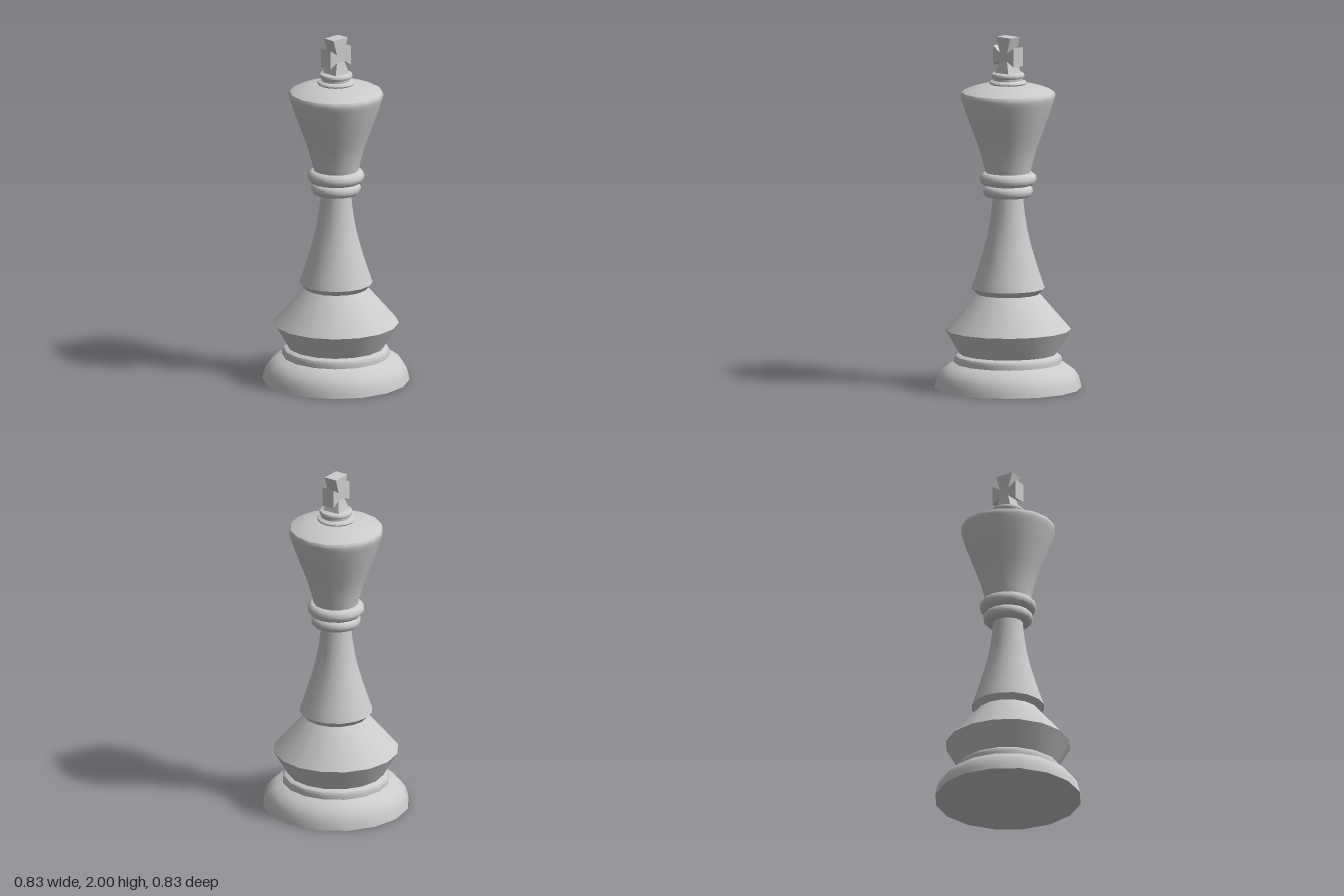
import * as THREE from 'three';
import { toCreasedNormals } from 'three/addons/utils/BufferGeometryUtils.js';

const SIDES = 16;

export function createModel() {
  const group = new THREE.Group();
  const material = new THREE.MeshStandardMaterial({ color: 0xcccccc });

  const add = (name, geometry, crease = 0.55) => {
    const mesh = new THREE.Mesh(toCreasedNormals(geometry, crease), material);
    mesh.name = name;
    group.add(mesh);
  };
  const points = (list) => list.map(([x, y]) => new THREE.Vector2(x, y));
  // turned part from [radius, height] pairs, bottom to top
  const turn = (name, profile) => add(name, new THREE.LatheGeometry(points(profile), SIDES));
  // half-round bead standing out from an inner radius
  const bead = (inner, outer, y0, y1, steps = 6) =>
    Array.from({ length: steps + 1 }, (_, i) => {
      const a = (i / steps - 0.5) * Math.PI;
      return [inner + (outer - inner) * Math.cos(a), (y0 + y1) / 2 + ((y1 - y0) / 2) * Math.sin(a)];
    });
  // smooth curve through a few profile points
  const smooth = (list, n) =>
    new THREE.SplineCurve(points(list)).getPoints(n).map((p) => [p.x, p.y]);

  // domed foot with its ring
  turn('base', [
    [0, 0], [0.415, 0], [0.408, 0.035], [0.397, 0.07], [0.373, 0.103], [0.34, 0.127], [0.303, 0.143],
    [0.303, 0.17], [0.297, 0.183], [0.275, 0.196], [0, 0.196],
  ]);

  // double cone above the foot
  turn('skirt', [[0.275, 0.196], [0.355, 0.333], [0.178, 0.537]]);

  // waisted stem with undercut lip
  turn('stem', [
    [0.178, 0.537], [0.207, 0.568],
    ...smooth([[0.207, 0.568], [0.163, 0.7], [0.118, 0.86], [0.094, 1.0], [0.086, 1.09]], 10).slice(1),
  ]);

  // two rounded collars
  turn('lowerCollar', [[0.08, 1.088], ...bead(0.11, 0.141, 1.088, 1.155), [0.1, 1.155]]);
  turn('upperCollar', [[0.1, 1.155], ...bead(0.125, 0.161, 1.155, 1.229), [0.1, 1.229]]);

  // flaring head with shallow domed top
  turn('head', [
    ...smooth([[0.126, 1.225], [0.155, 1.34], [0.198, 1.46], [0.24, 1.575], [0.266, 1.656]], 10),
    [0.267, 1.672], [0.261, 1.686], [0.247, 1.693],
    [0.2, 1.712], [0.15, 1.725], [0.1, 1.732],
  ]);

  // small stepped ring under the cross
  turn('finialRing', [
    [0.09, 1.728], ...bead(0.09, 0.107, 1.728, 1.75, 4), [0.083, 1.754],
    [0.083, 1.764], ...bead(0.083, 0.094, 1.766, 1.796, 4), [0, 1.797],
  ]);

  // cross: flared arms and top, then a foot that also spreads in depth
  const depth = 0.076;
  const slab = (list) =>
    new THREE.ExtrudeGeometry(new THREE.Shape(points(list)), { depth, bevelEnabled: false })
      .translate(0, 0, -depth / 2);
  add('cross', slab([
    [-0.028, 1.866], [0.028, 1.866], [0.08, 1.836], [0.08, 1.947], [0.028, 1.912], [0.055, 2],
    [-0.055, 2], [-0.028, 1.912], [-0.08, 1.947], [-0.08, 1.836],
  ]), 0.1);

  const foot = slab([[-0.055, 1.785], [0.055, 1.785], [0.028, 1.866], [-0.028, 1.866]]);
  const pos = foot.attributes.position;
  for (let i = 0; i < pos.count; i++) {
    if (pos.getY(i) < 1.8) pos.setZ(i, pos.getZ(i) * 1.42);
  }
  add('crossFoot', foot, 0.1);

  return group;
}
